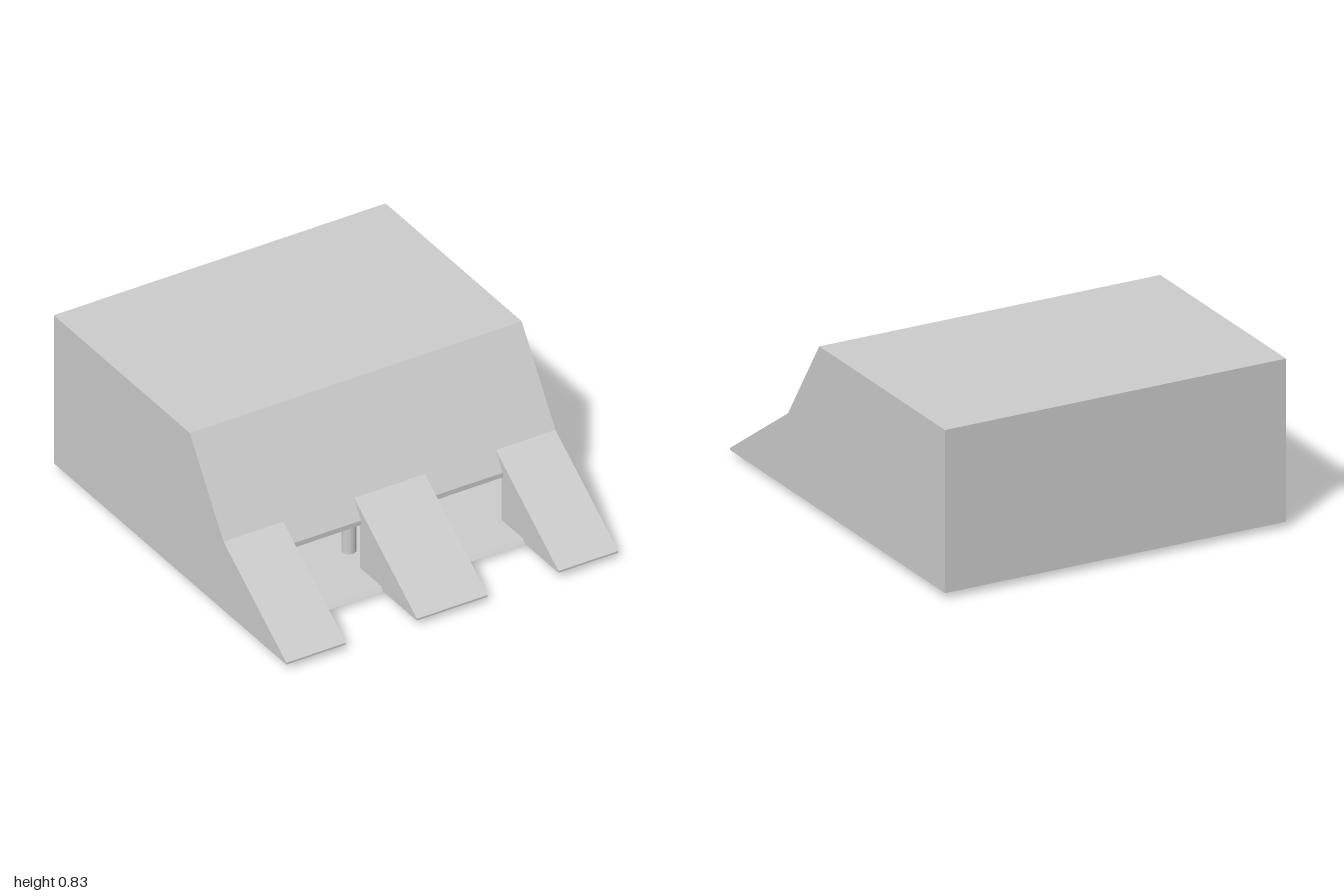
import * as THREE from 'three';

const material = new THREE.MeshStandardMaterial({ color: 0xcccccc, flatShading: true });

// Extrude a [z, y] profile along x from x0 to x1
function slab(name, points, x0, x1) {
  const shape = new THREE.Shape(points.map(([z, y]) => new THREE.Vector2(z, y)));
  const geometry = new THREE.ExtrudeGeometry(shape, { depth: x1 - x0, bevelEnabled: false });
  geometry.rotateY(-Math.PI / 2).translate(x1, 0, 0);
  const mesh = new THREE.Mesh(geometry, material);
  mesh.name = name;
  return mesh;
}

function part(name, geometry, x, y, z) {
  const mesh = new THREE.Mesh(geometry, material);
  mesh.position.set(x, y, z);
  mesh.name = name;
  return mesh;
}

export function createModel() {
  const model = new THREE.Group();
  model.name = 'rampedHousing';

  // Hollow body: floor, back wall, roof and sloping front hood in one section
  model.add(slab('bodyShell', [
    [-1, 0.03], [0.71, 0.03], [0.69, 0.05], [-0.97, 0.05], [-0.97, 0.8],
    [0.155, 0.8], [0.50, 0.285], [0.52, 0.285], [0.52, 0.31],
    [0.46, 0.4], [0.17, 0.83], [-1, 0.83],
  ], -0.87, 0.87));

  // Closed side walls
  const side = [[-1, 0.03], [1, 0.03], [1, 0.04], [0.46, 0.4], [0.17, 0.83], [-1, 0.83]];
  model.add(slab('leftWall', side, 0.86, 0.89), slab('rightWall', side, -0.89, -0.86));

  // Three wedge ramps in front of the hood
  const ramp = [[0.51, 0.03], [1, 0.03], [1, 0.04], [0.46, 0.4], [0.51, 0.32]];
  model.add(
    slab('leftRamp', ramp, 0.57, 0.88),
    slab('centreRamp', ramp, -0.19, 0.19),
    slab('rightRamp', ramp, -0.88, -0.57),
  );

  // Inside the cavity: posts with collars and tapered blocks, mirrored
  for (const s of [-1, 1]) {
    model.add(part('post', new THREE.CylinderGeometry(0.035, 0.035, 0.34, 20), s * 0.155, 0.22, 0.36));
    model.add(part('postCollar', new THREE.CylinderGeometry(0.042, 0.042, 0.035, 20), s * 0.155, 0.245, 0.36));
    const block = new THREE.CylinderGeometry(0.045 * Math.SQRT2, 0.07 * Math.SQRT2, 0.12, 4);
    block.rotateY(Math.PI / 4);
    model.add(part('taperedBlock', block, s * 0.38, 0.11, 0.05));
  }

  // Pad under the floor
  model.add(part('basePad', new THREE.BoxGeometry(0.18, 0.035, 0.49), 0, 0.0175, 0.085));

  return model;
}
